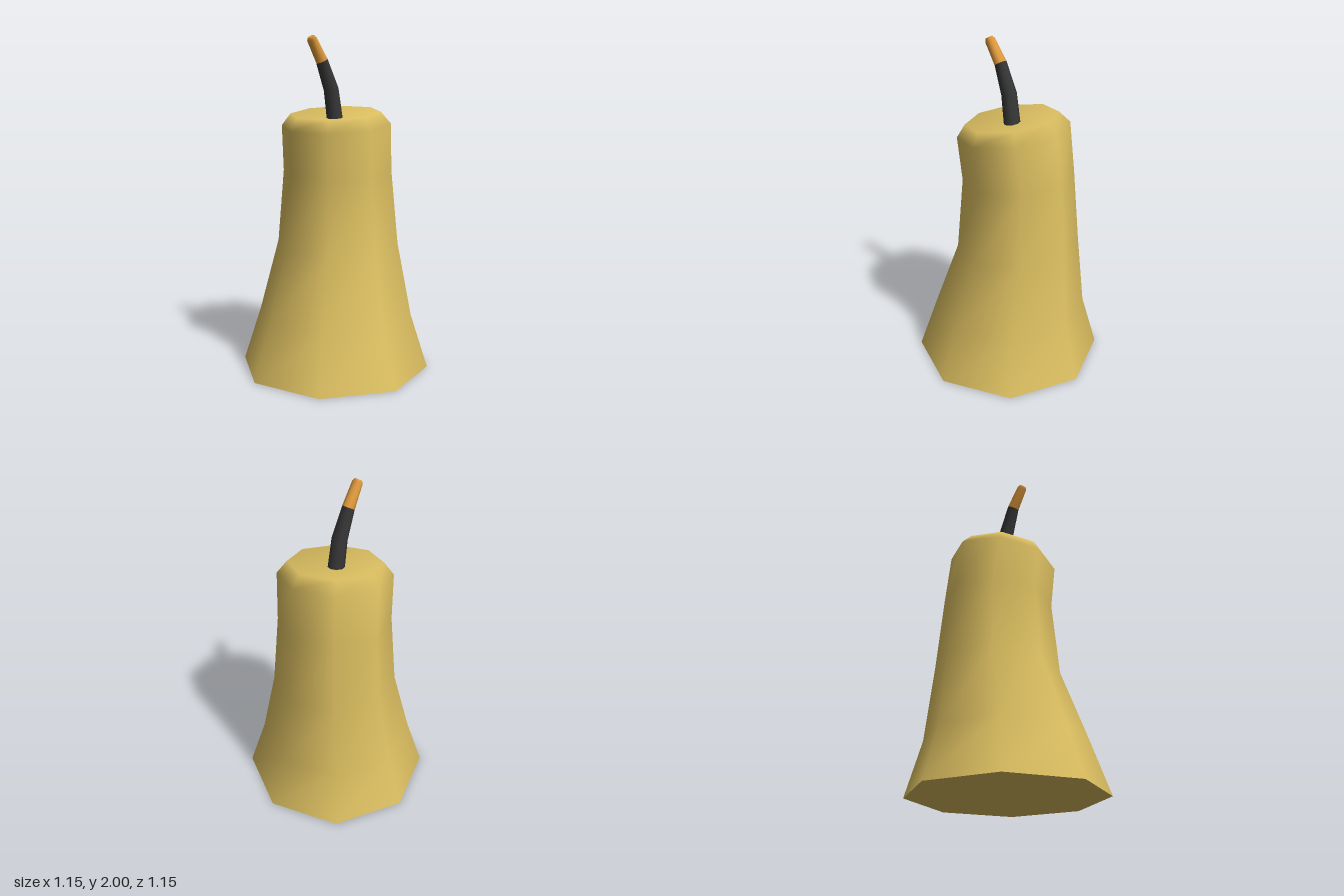
import * as THREE from 'three';

const SIDES = 8;
const UP = new THREE.Vector3(0, 1, 0);

// Skin eight-sided rings [x, y, z, radius, axis]; the ends close with separate
// flat caps, or the top runs smoothly into an apex point when one is given.
function loft(name, rings, material, apex) {
  const pos = [], index = [];
  const addRing = ([x, y, z, r, axis]) => {
    const start = pos.length / 3;
    const q = new THREE.Quaternion().setFromUnitVectors(UP, new THREE.Vector3(...axis).normalize());
    for (let j = 0; j < SIDES; j++) {
      const a = (j / SIDES) * Math.PI * 2;
      const v = new THREE.Vector3(Math.sin(a) * r, 0, Math.cos(a) * r).applyQuaternion(q);
      pos.push(v.x + x, v.y + y, v.z + z);
    }
    return start;
  };
  const addFan = (start, point, up) => {
    const c = pos.length / 3;
    pos.push(...point);
    for (let j = 0; j < SIDES; j++) {
      const a = start + j, b = start + (j + 1) % SIDES;
      if (up) index.push(c, a, b);
      else index.push(c, b, a);
    }
  };
  const starts = rings.map(addRing);
  for (let i = 0; i < starts.length - 1; i++) {
    for (let j = 0; j < SIDES; j++) {
      const k = (j + 1) % SIDES;
      const a = starts[i] + j, b = starts[i] + k, c = starts[i + 1] + j, d = starts[i + 1] + k;
      index.push(a, b, d, a, d, c);
    }
  }
  const first = rings[0], last = rings[rings.length - 1];
  addFan(addRing(first), first.slice(0, 3), false);
  if (apex) addFan(starts[starts.length - 1], apex, true);
  else addFan(addRing(last), last.slice(0, 3), true);

  const geometry = new THREE.BufferGeometry();
  geometry.setAttribute('position', new THREE.Float32BufferAttribute(pos, 3));
  geometry.setIndex(index);
  geometry.computeVertexNormals();
  const mesh = new THREE.Mesh(geometry, material);
  mesh.name = name;
  return mesh;
}

export function createModel() {
  const group = new THREE.Group();
  group.name = 'candle';
  const wax = new THREE.MeshStandardMaterial({ color: 0xdcbf61 });
  wax.name = 'golden wax';
  const char = new THREE.MeshStandardMaterial({ color: 0x363636 });
  char.name = 'charred wick';
  const ember = new THREE.MeshStandardMaterial({ color: 0xdf993c });
  ember.name = 'glowing wick';

  // Flared wax body with a slanted, slightly hollow top
  group.add(loft('waxBody', [
    [0, 0, 0, 0.577, [0, 1, 0]],
    [0, 0.325, -0.01, 0.472, [0, 1, 0]],
    [0.01, 0.76, -0.06, 0.373, [0, 1, 0.07]],
    [0.008, 1.2, -0.06, 0.333, [0, 1, 0.08]],
    [0.004, 1.483, -0.03, 0.332, [-0.02, 1, 0.138]],
    [0.003, 1.553, -0.02, 0.274, [-0.02, 1, 0.138]],
  ], wax, [0, 1.515, -0.02]));

  // Bent wick
  group.add(loft('wick', [
    [0.002, 1.49, -0.026, 0.049, [-0.1, 1, 0.08]],
    [-0.02, 1.69, -0.005, 0.045, [-0.2, 1, 0.18]],
    [-0.068, 1.855, 0.042, 0.036, [-0.38, 1, 0.4]],
  ], char));

  // Glowing tip with a small bevel
  group.add(loft('wickTip', [
    [-0.068, 1.855, 0.042, 0.036, [-0.38, 1, 0.4]],
    [-0.116, 1.975, 0.1, 0.03, [-0.4, 1, 0.48]],
    [-0.121, 1.989, 0.106, 0.022, [-0.4, 1, 0.48]],
  ], ember));

  return group;
}
